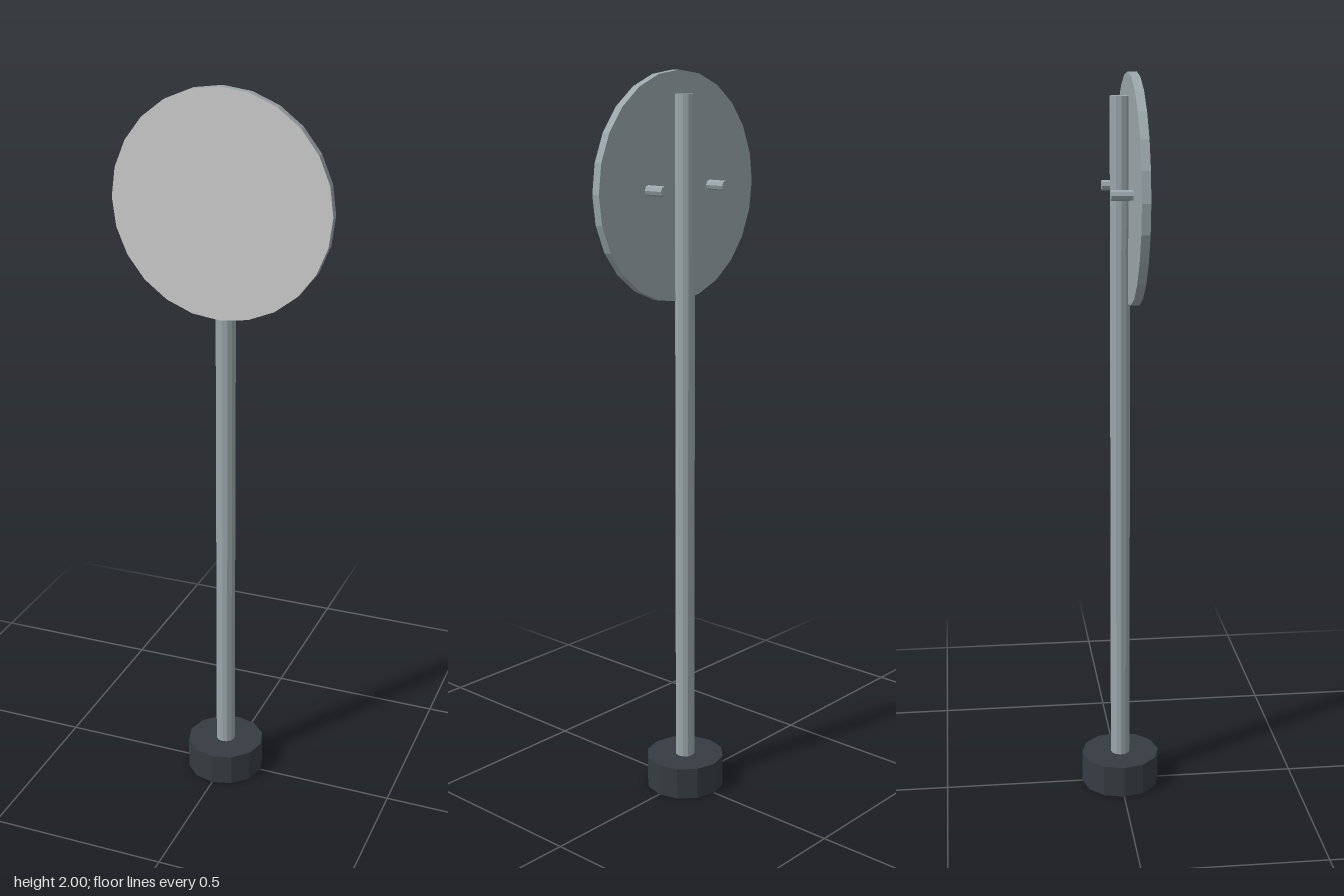
import * as THREE from 'three';

const paint = (color) => new THREE.MeshStandardMaterial({ color, flatShading: true });

export function createModel() {
  const model = new THREE.Group();
  const metal = paint(0x9ba7ab);
  const rubber = paint(0x363c42);
  const face = paint(0xcccccc);

  // Faceted cylinder, upright or turned so that its top cap faces +z
  function addCylinder(name, radius, length, sides, material, position, facesFront = false) {
    const geometry = new THREE.CylinderGeometry(radius, radius, length, sides);
    if (facesFront) geometry.rotateX(Math.PI / 2);
    const mesh = new THREE.Mesh(geometry, material);
    mesh.name = name;
    mesh.position.set(...position);
    model.add(mesh);
  }

  // Weighted foot and upright pole
  addCylinder('base', 0.11, 0.09, 12, rubber, [0, 0.045, 0]);
  addCylinder('pole', 0.027, 1.90, 12, metal, [0, 0.99, 0]);

  // Round sign: metal rim and back, pale front face
  addCylinder('signDisc', 0.3, 0.023, 24, [metal, face, metal], [0, 1.7, 0.031], true);

  // Bolts sticking out of the back on either side of the pole
  for (const side of [-1, 1]) {
    addCylinder(side > 0 ? 'leftBolt' : 'rightBolt', 0.0135, 0.062, 8, metal,
      [side * 0.12, 1.7, -0.006], true);
  }

  return model;
}
